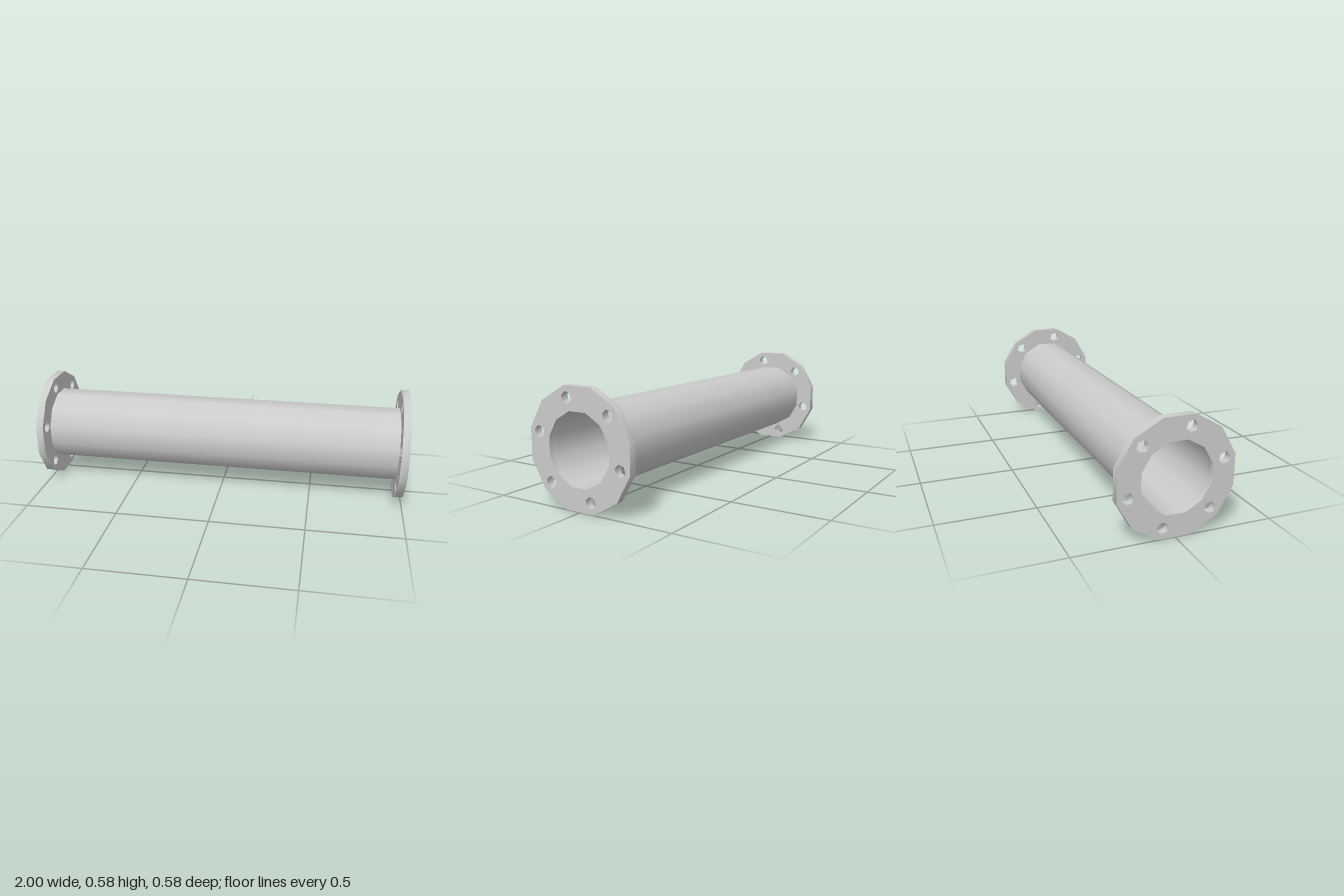
import * as THREE from 'three';
import { toCreasedNormals } from 'three/addons/utils/BufferGeometryUtils.js';

const SIDES = 12;
const FLANGE_R = 0.2985, PIPE_R = 0.198, BORE_R = 0.18;
const BOLT_CIRCLE_R = 0.242, BOLT_R = 0.03;
const HALF = 1, FLANGE_T = 0.04;
const AXIS_Y = 0.2885;

// Corners of a regular polygon
function polygon(sides, radius, start, cx = 0, cy = 0) {
  return Array.from({ length: sides }, (_, i) => {
    const a = start + (i / sides) * Math.PI * 2;
    return new THREE.Vector2(cx + radius * Math.cos(a), cy + radius * Math.sin(a));
  });
}

// Twelve-sided plate with a bore and six hexagonal bolt holes
function flangeGeometry() {
  const phase = Math.PI / SIDES;
  const shape = new THREE.Shape(polygon(SIDES, FLANGE_R, phase));
  shape.holes.push(new THREE.Path(polygon(SIDES, BORE_R, phase)));
  for (let i = 0; i < 6; i++) {
    const a = Math.PI / 4 + (i * Math.PI) / 3;
    const cx = BOLT_CIRCLE_R * Math.cos(a), cy = BOLT_CIRCLE_R * Math.sin(a);
    shape.holes.push(new THREE.Path(polygon(6, BOLT_R, Math.PI / 4, cx, cy)));
  }
  const geo = new THREE.ExtrudeGeometry(shape, { depth: FLANGE_T, bevelEnabled: false });
  geo.translate(0, 0, -FLANGE_T / 2).rotateY(Math.PI / 2);
  return toCreasedNormals(geo, 1.1);
}

// Open tube wall lying along x between the flanges
function wallGeometry(radius) {
  const length = 2 * (HALF - FLANGE_T);
  return new THREE.CylinderGeometry(radius, radius, length, SIDES, 1, true, Math.PI / SIDES)
    .rotateZ(Math.PI / 2);
}

export function createModel() {
  const model = new THREE.Group();
  model.name = 'flangedPipe';
  const grey = new THREE.MeshStandardMaterial({ color: 0xcccccc });
  const inside = new THREE.MeshStandardMaterial({ color: 0xcccccc, side: THREE.BackSide });

  const add = (name, geo, material, x = 0) => {
    const mesh = new THREE.Mesh(geo, material);
    mesh.name = name;
    mesh.position.set(x, AXIS_Y, 0);
    model.add(mesh);
  };

  // Pipe: outer wall and bore
  add('pipeWall', wallGeometry(PIPE_R), grey);
  add('pipeBore', wallGeometry(BORE_R), inside);

  // Bolting flange on each end
  const flange = flangeGeometry();
  add('leftFlange', flange, grey, HALF - FLANGE_T / 2);
  add('rightFlange', flange, grey, -HALF + FLANGE_T / 2);

  return model;
}
